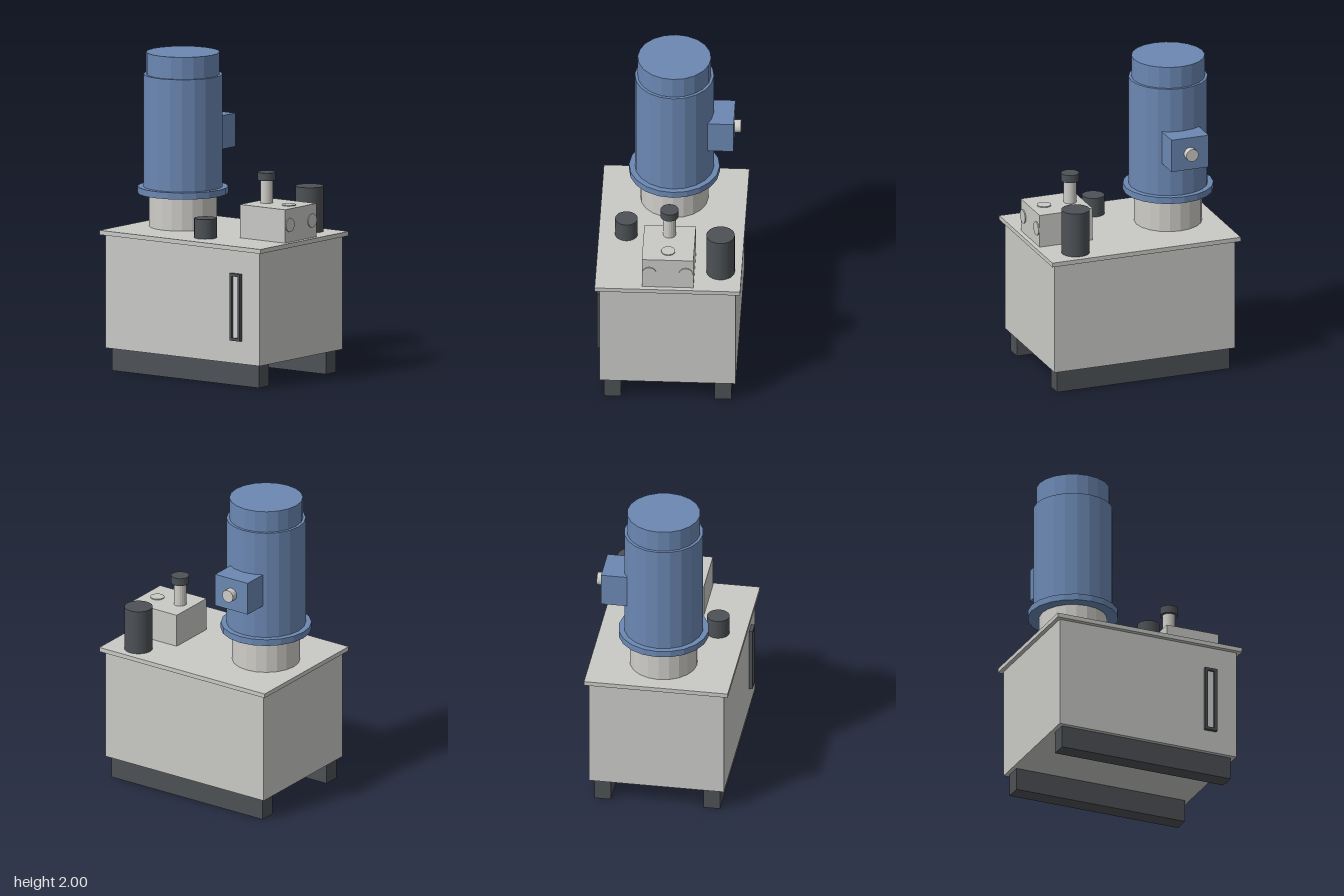
import * as THREE from 'three';

export function createModel() {
  const model = new THREE.Group();
  model.name = 'hydraulicPowerUnit';

  const material = (name, color) => {
    const m = new THREE.MeshStandardMaterial({ color });
    m.name = name;
    return m;
  };
  const paint = material('greyPaint', 0xc9c9c6);
  const blue = material('motorBlue', 0x6b88b3);
  const dark = material('darkGrey', 0x4d5155);
  const metal = material('bareMetal', 0xcfcdc8);
  const glass = material('sightGlass', 0xd2d5d5);
  for (const m of [paint, blue, dark, metal, glass]) m.flatShading = true;

  const add = (name, geometry, mat) => {
    const mesh = new THREE.Mesh(geometry, mat);
    mesh.name = name;
    model.add(mesh);
    return mesh;
  };
  // Box from its lower and upper limits on each axis
  const box = (name, mat, x0, x1, y0, y1, z0, z1) =>
    add(name, new THREE.BoxGeometry(x1 - x0, y1 - y0, z1 - z0), mat)
      .position.set((x0 + x1) / 2, (y0 + y1) / 2, (z0 + z1) / 2);
  // Upright cylinder between two heights
  const post = (name, mat, x, z, r, y0, y1, sides = 20) =>
    add(name, new THREE.CylinderGeometry(r, r, y1 - y0, sides), mat)
      .position.set(x, (y0 + y1) / 2, z);

  // Tank, lid and skids
  const lidTop = 0.893;
  box('tank', paint, -0.608, 0.608, 0.145, 0.865, -0.428, 0.428);
  box('lid', paint, -0.635, 0.635, 0.865, lidTop, -0.457, 0.457);
  for (const s of [-1, 1]) {
    const z = s * 0.347;
    box(s > 0 ? 'frontSkid' : 'backSkid', dark, -0.58, 0.58, 0, 0.145, z - 0.053, z + 0.053);
  }

  // Motor on its bell housing
  const mx = -0.324;
  post('bellHousing', metal, mx, 0, 0.213, lidTop, 1.105);
  post('motorFlange', blue, mx, 0, 0.285, 1.105, 1.147);
  post('motorBody', blue, mx, 0, 0.249, 1.147, 1.86);
  post('fanCover', blue, mx, 0, 0.231, 1.86, 2);

  // Terminal box and cable gland on the back of the motor
  box('terminalBox', blue, mx - 0.125, mx + 0.125, 1.362, 1.575, -0.378, -0.2);
  const gland = add('cableGland', new THREE.CylinderGeometry(0.041, 0.041, 0.06, 16), metal);
  gland.rotation.x = Math.PI / 2;
  gland.position.set(mx, 1.47, -0.39);

  // Filler cap and return filter
  post('fillerCap', dark, 0.07, 0.283, 0.071, lidTop, 1.017, 32);
  post('returnFilter', dark, 0.427, -0.325, 0.089, lidTop, 1.18, 32);

  // Valve block with knob and shallow ports
  box('valveBlock', paint, 0.249, 0.605, lidTop, 1.105, -0.162, 0.162);
  post('knobStem', metal, 0.337, 0, 0.04, 1.105, 1.25);
  post('knobCap', dark, 0.337, 0, 0.057, 1.25, 1.3, 24);
  post('topPort', paint, 0.512, 0, 0.044, 1.105, 1.111, 24);
  for (const s of [-1, 1]) {
    const port = add('sidePort', new THREE.CylinderGeometry(0.044, 0.044, 0.007, 24), paint);
    port.rotation.z = -Math.PI / 2;
    port.position.set(0.6085, 1.003, s * 0.115);
  }

  // Level gauge: frame with a window, and the glass set inside it
  const rect = (path, x0, x1, y0, y1) =>
    path.moveTo(x0, y0).lineTo(x1, y0).lineTo(x1, y1).lineTo(x0, y1).closePath();
  const frame = new THREE.Shape();
  rect(frame, 0.385, 0.467, 0.29, 0.717);
  const hole = new THREE.Path();
  rect(hole, 0.404, 0.448, 0.308, 0.699);
  frame.holes.push(hole);
  add('gaugeFrame', new THREE.ExtrudeGeometry(frame, { depth: 0.022, bevelEnabled: false }), dark)
    .position.z = 0.428;
  box('gaugeGlass', glass, 0.404, 0.448, 0.308, 0.699, 0.428, 0.437);

  return model;
}
